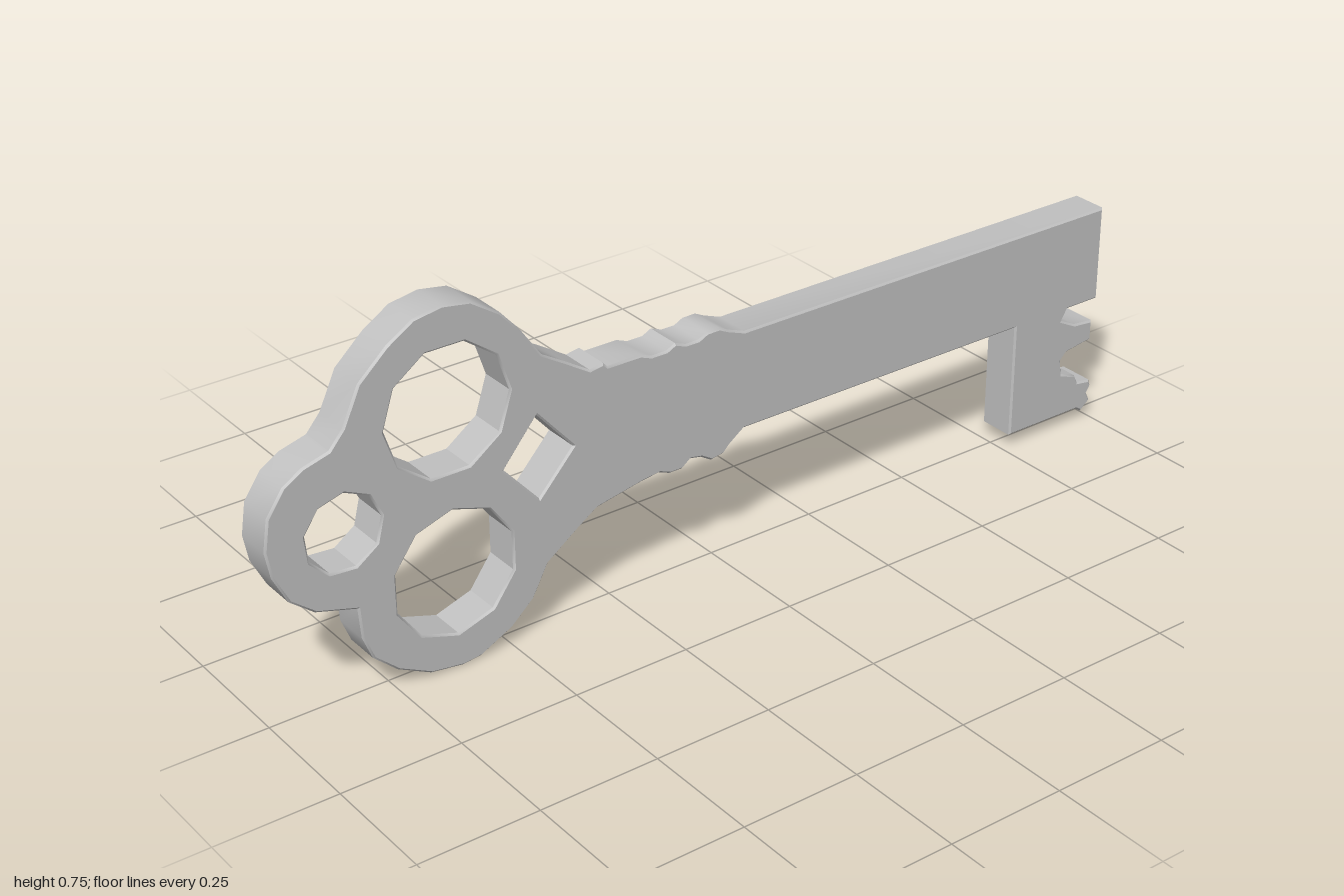
import * as THREE from 'three';
import { toCreasedNormals } from 'three/addons/utils/BufferGeometryUtils.js';

const THICK = 0.084, BEVEL = 0.004;

// Outline runs clockwise; first coordinate points to the tip of the key, second is up
const shankAndBit = [
  [0.05, 0.495], [1, 0.495], [1, 0.285], [0.915, 0.285], [0.9, 0.26], [0.94, 0.24], [0.99, 0.235],
  [0.99, 0.19], [0.92, 0.18], [0.905, 0.165], [0.91, 0.13], [0.95, 0.115], [0.96, 0.095],
  [0.995, 0.09], [1, 0.075], [0.99, 0.06], [1, 0.04], [0.975, 0.02], [0.96, 0.03],
  [0.765, 0.03], [0.765, 0.285], [0.05, 0.285],
];
const collarBottom = [
  [0.015, 0.26], [0, 0.245], [-0.03, 0.24], [-0.055, 0.255], [-0.08, 0.26], [-0.1, 0.245],
  [-0.13, 0.245], [-0.155, 0.255], [-0.195, 0.25], [-0.3, 0.23],
];
const bow = [
  [-0.345, 0.2], [-0.415, 0.15], [-0.45, 0.085], [-0.5, 0.04], [-0.57, 0.005], [-0.61, 0],
  [-0.68, 0.01], [-0.75, 0.045], [-0.8, 0.09], [-0.82, 0.14], [-0.825, 0.205],
  [-0.91, 0.23], [-0.96, 0.27], [-0.99, 0.33], [-1, 0.385], [-0.99, 0.45], [-0.955, 0.5],
  [-0.915, 0.525], [-0.86, 0.54], [-0.83, 0.575], [-0.795, 0.65], [-0.735, 0.705],
  [-0.68, 0.74], [-0.62, 0.75], [-0.56, 0.74], [-0.5, 0.7], [-0.46, 0.655], [-0.415, 0.59],
  [-0.365, 0.56],
];
const collarTop = [
  [-0.31, 0.525], [-0.28, 0.53], [-0.27, 0.52], [-0.195, 0.52], [-0.17, 0.51], [-0.135, 0.51],
  [-0.115, 0.52], [-0.09, 0.51], [-0.06, 0.51], [-0.04, 0.52], [-0.01, 0.52], [0.01, 0.51],
];

const toPoints = (list) => list.map(([u, v]) => new THREE.Vector2(u, v));

// Regular polygon hole
function ring(u, v, radius, sides, phase = 0) {
  const pts = [];
  for (let i = 0; i < sides; i++) {
    const a = phase + (i / sides) * Math.PI * 2;
    pts.push(new THREE.Vector2(u + Math.cos(a) * radius, v + Math.sin(a) * radius));
  }
  return new THREE.Path(pts);
}

export function createModel() {
  const metal = new THREE.MeshStandardMaterial({ color: 0xc0c0c0 });
  metal.name = 'grey metal';

  const shape = new THREE.Shape(toPoints([...shankAndBit, ...collarBottom, ...bow, ...collarTop]));
  shape.holes.push(
    ring(-0.618, 0.541, 0.132, 10),               // upper loop
    ring(-0.618, 0.205, 0.132, 10, Math.PI / 10), // lower loop
    ring(-0.843, 0.37, 0.079, 9, 0.1),            // end loop
    new THREE.Path(toPoints([[-0.43, 0.47], [-0.505, 0.38], [-0.43, 0.295], [-0.352, 0.38]])), // diamond
  );

  const extruded = new THREE.ExtrudeGeometry(shape, {
    depth: THICK - 2 * BEVEL,
    bevelEnabled: true,
    bevelThickness: BEVEL,
    bevelSize: BEVEL,
    bevelOffset: -BEVEL,
    bevelSegments: 1,
  });
  extruded.translate(0, 0, -THICK / 2 + BEVEL);
  extruded.rotateY(Math.PI / 2); // tip of the key points to -z

  const key = new THREE.Mesh(toCreasedNormals(extruded, 0.55), metal);
  key.name = 'key';

  const group = new THREE.Group();
  group.name = 'ornateKey';
  group.add(key);
  return group;
}
